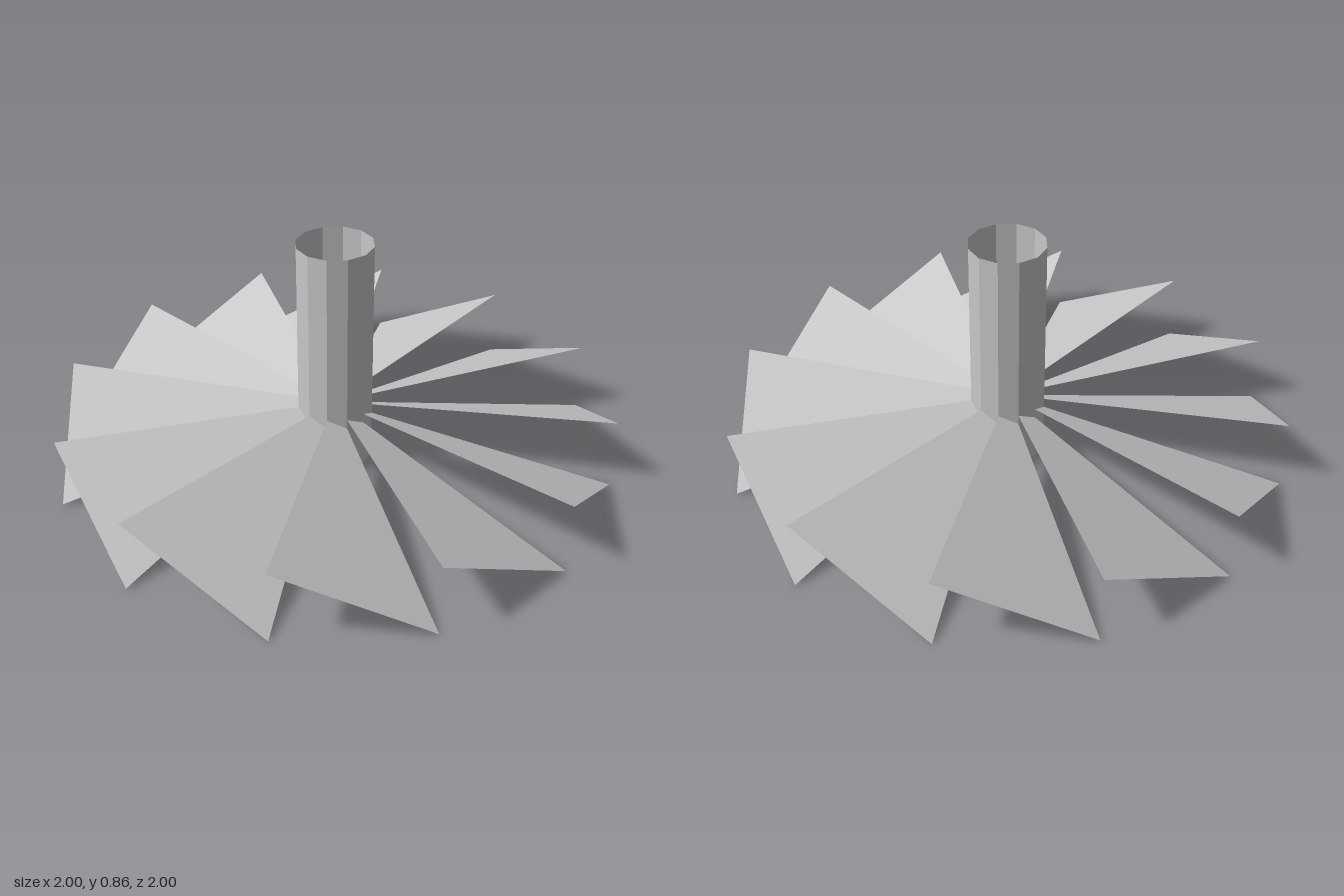
import * as THREE from 'three';

const SIDES = 12;

export function createModel() {
  const group = new THREE.Group();
  const grey = new THREE.MeshStandardMaterial({ color: 0xc8c8c8, side: THREE.DoubleSide, flatShading: true });
  grey.name = 'light grey';

  // Open-topped hollow shaft with a bevelled foot and recessed base
  const profile = [[0, 0.02], [0.09, 0.02], [0.098, 0], [0.12, 0], [0.136, 0.02], [0.136, 0.86]]
    .map(([r, y]) => new THREE.Vector2(r, y));
  const shaft = new THREE.Mesh(new THREE.LatheGeometry(profile, SIDES).toNonIndexed(), grey);
  shaft.geometry.computeVertexNormals();
  shaft.name = 'shaft';
  group.add(shaft);

  // Pitched triangular blade: apex on the axis, outer edge slanting from high to low
  const step = (Math.PI * 2) / SIDES;
  const blade = new THREE.BufferGeometry();
  blade.setAttribute('position', new THREE.Float32BufferAttribute([
    0, 0.228, 0,
    0, 0.268, 1,
    Math.sin(step), 0.006, Math.cos(step),
  ], 3));
  blade.computeVertexNormals();

  // Ring of blades
  const blades = new THREE.Group();
  blades.name = 'blades';
  for (let i = 0; i < SIDES; i++) {
    const mesh = new THREE.Mesh(blade, grey);
    mesh.name = 'blade' + (i + 1);
    mesh.rotation.y = i * step;
    blades.add(mesh);
  }
  group.add(blades);
  return group;
}
